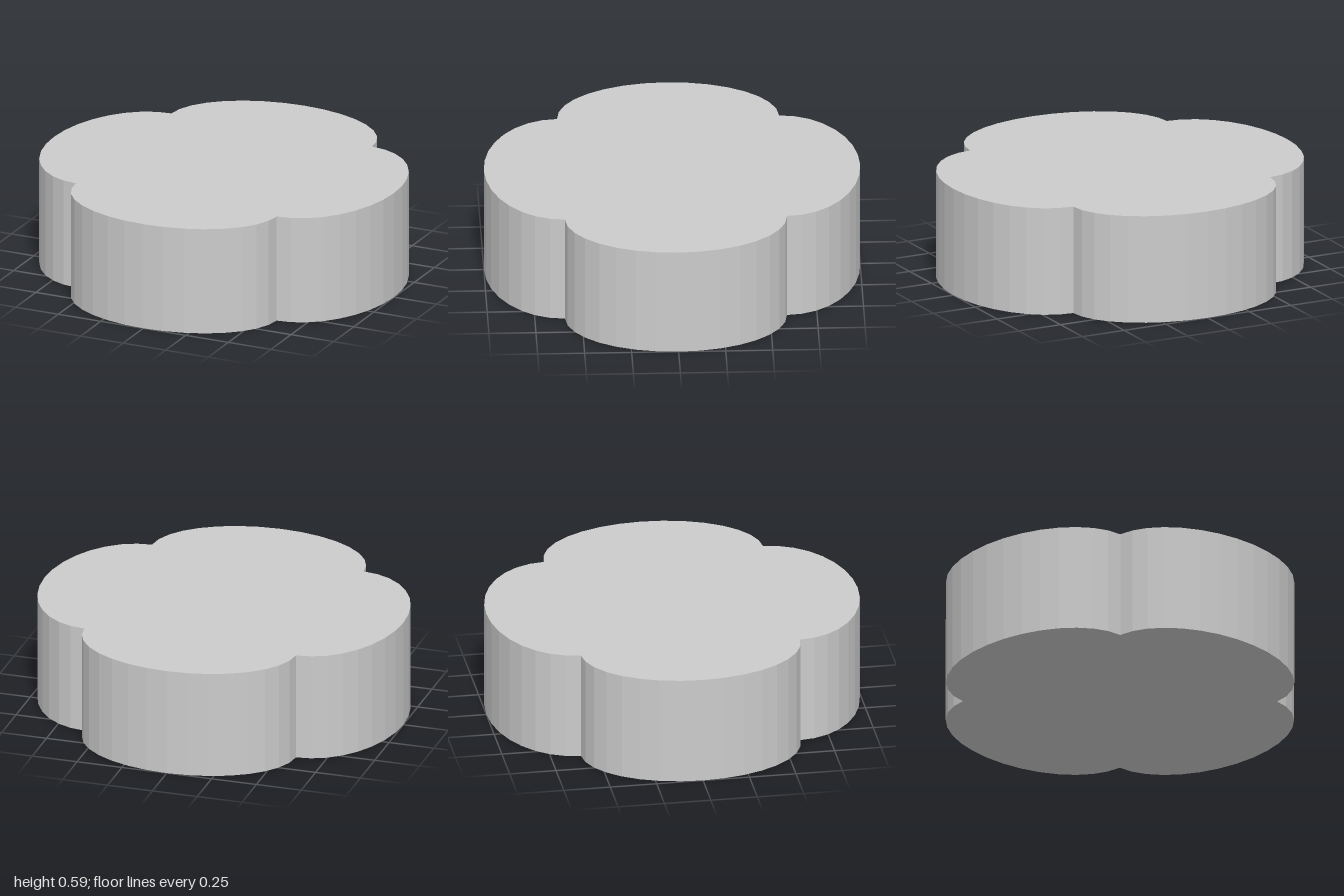
import * as THREE from 'three';

const INNER = 0.59;        // half width of the central square
const BULGE = 1 - INNER;   // how far each lobe reaches out
const HEIGHT = 0.59;

// Outline: four half-ellipse lobes on the sides of a square, counter-clockwise
function lobedOutline() {
  const shape = new THREE.Shape();
  shape.moveTo(INNER, -INNER);
  for (let i = 0; i < 4; i++) {
    const middle = i * Math.PI / 2;
    shape.absellipse(
      INNER * Math.round(Math.cos(middle)), INNER * Math.round(Math.sin(middle)),
      BULGE, INNER, -Math.PI / 2, Math.PI / 2, false, middle);
  }
  return shape;
}

export function createModel() {
  const group = new THREE.Group();
  group.name = 'lobedBlock';

  // Solid block, faceted sides, lying flat on the ground
  const geometry = new THREE.ExtrudeGeometry(lobedOutline(), {
    depth: HEIGHT, bevelEnabled: false, curveSegments: 8,
  });
  geometry.rotateX(-Math.PI / 2);
  const body = new THREE.Mesh(geometry,
    new THREE.MeshStandardMaterial({ color: 0xcccccc, flatShading: true }));
  body.name = 'body';
  group.add(body);
  return group;
}
